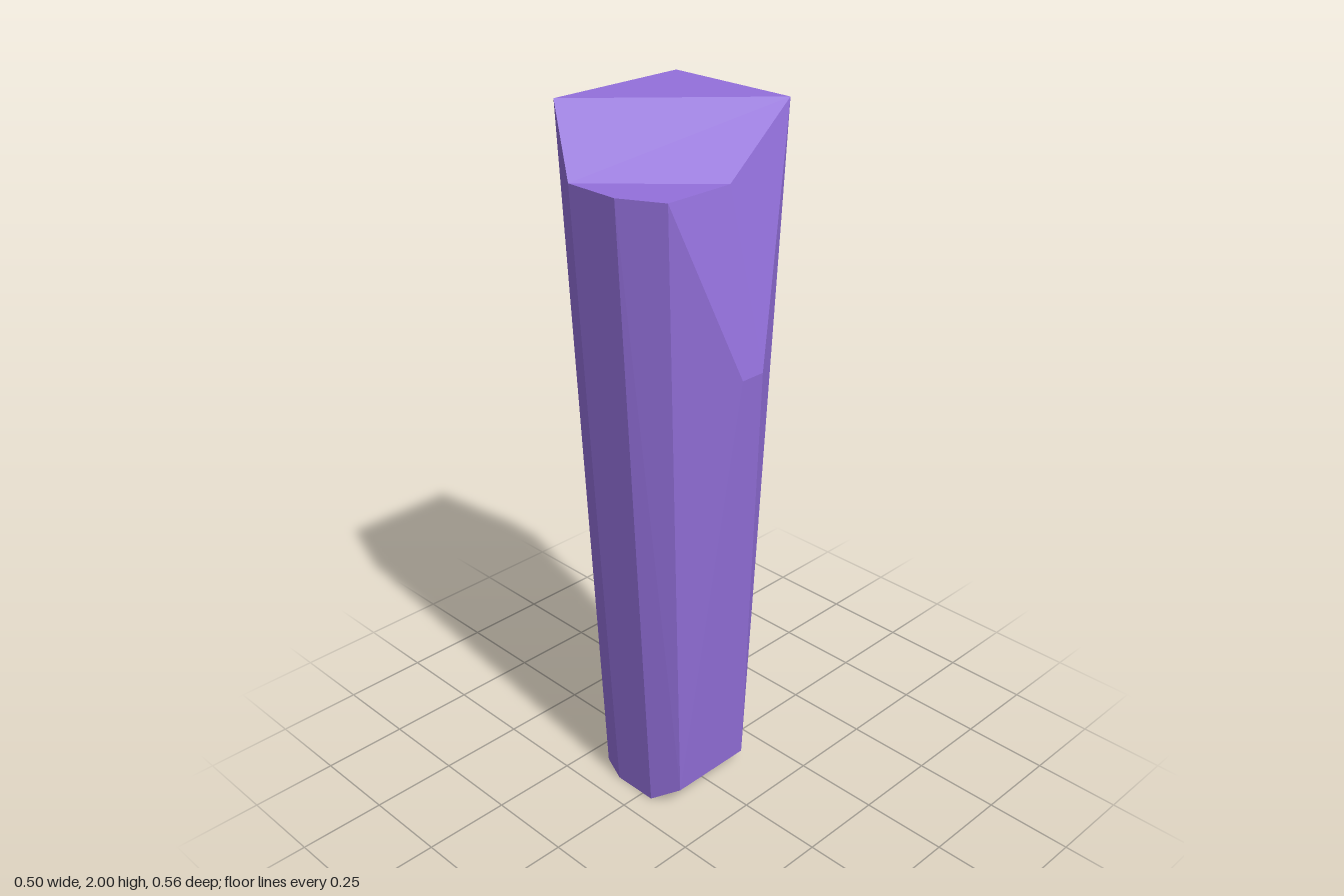
import * as THREE from 'three';

// Corner rings of the eight-sided shaft, going round from the front right
const upper = [
  [0.165, 1.83, 0.22], [0.165, 2, -0.19], [0.05, 1.71, -0.285], [-0.11, 1.71, -0.285],
  [-0.222, 2, -0.19], [-0.222, 2, 0.22], [-0.11, 1.83, 0.28], [0.05, 1.83, 0.28],
];
const lower = [
  [0.12, 0.06, 0.14], [0.12, 0.06, -0.115], [0.035, 0, -0.17], [-0.1, 0, -0.17],
  [-0.185, 0, -0.115], [-0.185, 0, 0.14], [-0.1, 0, 0.175], [0.035, 0, 0.175],
];
// Extra corners: end of the top step, ridge on the right flank, peak on the left flank
const step = [0.165, 1.83, 0.015];
const ridgeFront = [0.25, 1.36, 0.05];
const ridgeBack = [0.25, 1.36, -0.022];
const peak = [-0.255, 0.82, 0.01];

// Fans each polygon into triangles that face away from the middle of the crystal
function facets(polygons) {
  const positions = [];
  const middle = new THREE.Vector3(0, 1, 0);
  const tri = new THREE.Triangle();
  const normal = new THREE.Vector3();
  for (const polygon of polygons) {
    const p = polygon.map((c) => new THREE.Vector3(...c));
    for (let i = 1; i < p.length - 1; i++) {
      tri.set(p[0], p[i], p[i + 1]);
      tri.getNormal(normal);
      const outward = normal.dot(p[0].clone().sub(middle)) > 0;
      const order = outward ? [p[0], p[i], p[i + 1]] : [p[0], p[i + 1], p[i]];
      order.forEach((v) => positions.push(v.x, v.y, v.z));
    }
  }
  const geometry = new THREE.BufferGeometry();
  geometry.setAttribute('position', new THREE.Float32BufferAttribute(positions, 3));
  geometry.computeVertexNormals();
  return geometry;
}

export function createModel() {
  const [u0, u1, u2, u3, u4, u5, u6, u7] = upper;
  const polygons = [];

  // Plain shaft sides; the right (0) and left (4) flanks are cut differently
  for (let i = 0; i < 8; i++) {
    if (i === 0 || i === 4) continue;
    const j = (i + 1) % 8;
    polygons.push([upper[i], upper[j], lower[j], lower[i]]);
  }

  // Right flank with its short ridge
  polygons.push(
    [u0, step, ridgeFront], [step, ridgeBack, ridgeFront], [step, u1, ridgeBack],
    [u0, ridgeFront, lower[0]], [ridgeFront, ridgeBack, lower[1], lower[0]],
    [ridgeBack, u1, lower[1]],
  );

  // Left flank rising to a shallow peak
  const flank = [u4, u5, lower[5], lower[4]];
  flank.forEach((c, i) => polygons.push([c, flank[(i + 1) % 4], peak]));

  // Tip: flat top, sloping cut, lower step and back bevel
  polygons.push([u4, u1, u5], [u1, u5, u6, step], [u6, u7, u0, step], [u4, u1, u2, u3]);

  // Base and its bevel
  polygons.push(lower.slice(2), [lower[0], lower[1], lower[2], lower[7]]);

  const crystal = new THREE.Mesh(
    facets(polygons),
    new THREE.MeshStandardMaterial({ color: 0x9370db, flatShading: true }),
  );
  crystal.name = 'crystal';

  const group = new THREE.Group();
  group.name = 'crystalShard';
  group.add(crystal);
  return group;
}
